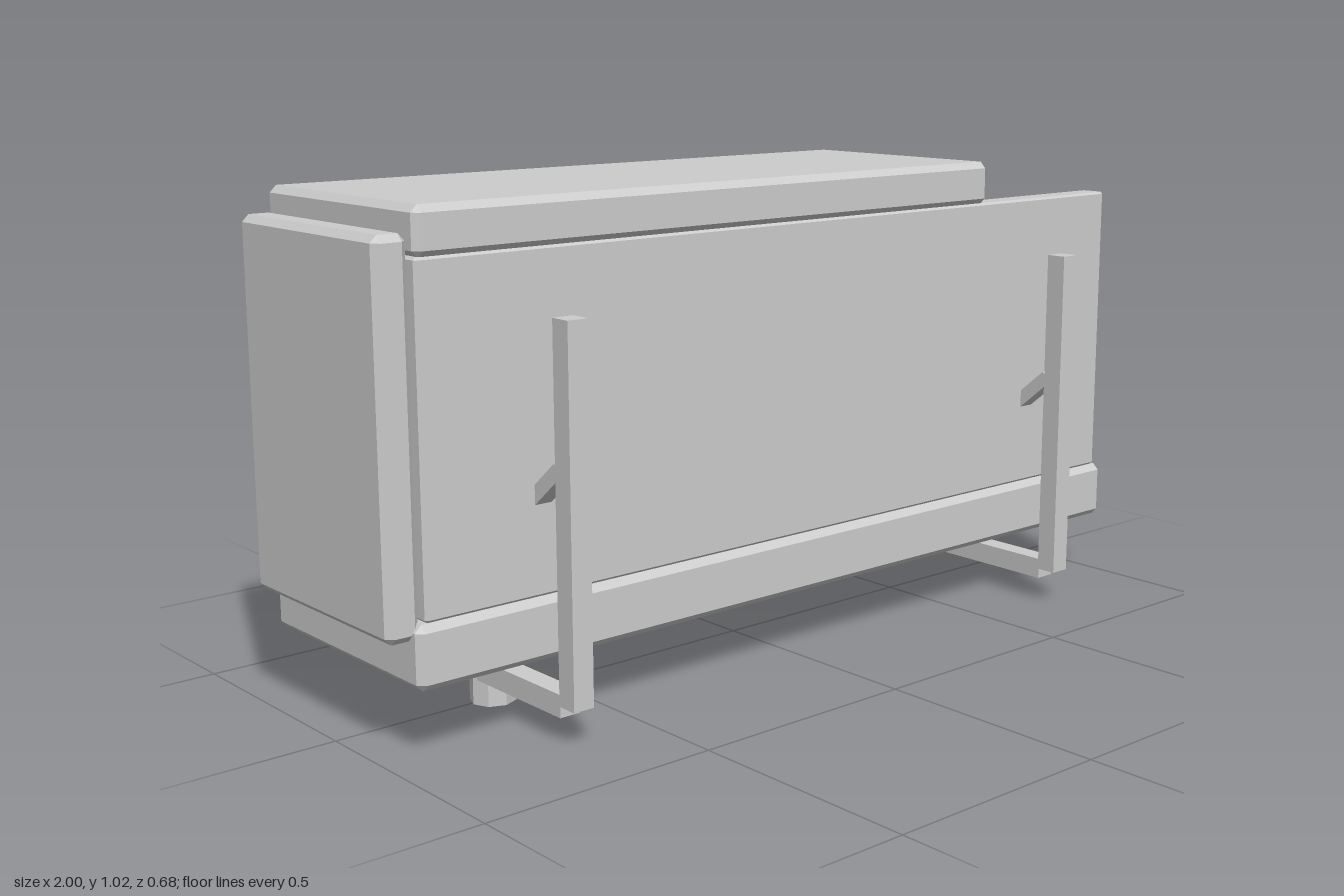
import * as THREE from 'three';
import { mergeGeometries } from 'three/addons/utils/BufferGeometryUtils.js';
import { ConvexGeometry } from 'three/addons/geometries/ConvexGeometry.js';

const V = (x, y, z) => new THREE.Vector3(x, y, z);

// Box with chamfered edges, given by its limits on each axis
function chamferBox([x0, x1], [y0, y1], [z0, z1], c) {
  const w = (x1 - x0) / 2, h = (y1 - y0) / 2, d = (z1 - z0) / 2;
  const pts = [];
  for (const i of [-1, 1]) for (const j of [-1, 1]) for (const k of [-1, 1]) {
    pts.push(V(i * w, j * (h - c), k * (d - c)));
    pts.push(V(i * (w - c), j * h, k * (d - c)));
    pts.push(V(i * (w - c), j * (h - c), k * d));
  }
  return new ConvexGeometry(pts).translate((x0 + x1) / 2, (y0 + y1) / 2, (z0 + z1) / 2);
}

function plainBox([x0, x1], [y0, y1], [z0, z1]) {
  return new THREE.BoxGeometry(x1 - x0, y1 - y0, z1 - z0)
    .translate((x0 + x1) / 2, (y0 + y1) / 2, (z0 + z1) / 2);
}

// Broken ten-sided shroud: flared prisms joined around the gap
function shroudGeometry() {
  const corner = (i) => {
    const t = (i * Math.PI) / 5;
    return [[0.315, 0.05], [0.268, 0.05], [0.33, -0.05], [0.28, -0.05]]
      .map(([r, z]) => V(r * Math.cos(t), r * Math.sin(t), z));
  };
  const parts = [];
  for (let i = 2; i < 10; i++) parts.push(new ConvexGeometry([...corner(i), ...corner(i + 1)]));
  // snapped stub of the next side
  const a = corner(10), b = corner(11);
  const cut = a.map((p, i) => p.clone().lerp(b[i], 0.28));
  parts.push(new ConvexGeometry([...a, ...cut]));
  return mergeGeometries(parts);
}

// Blade widening outward with a slight pitch
function bladeGeometry() {
  const pts = [];
  for (const [r, w, tilt] of [[0.04, 0.026, 0.01], [0.268, 0.045, 0.012]])
    for (const s of [-1, 1]) for (const t of [-0.007, 0.007]) pts.push(V(r, s * w, s * tilt + t));
  return new ConvexGeometry(pts);
}

export function createModel() {
  const model = new THREE.Group();
  model.name = 'airConditionerUnit';
  const grey = new THREE.MeshStandardMaterial({ color: 0xcccccc });
  grey.name = 'lightGrey';

  const add = (name, geometry, parent = model) => {
    const mesh = new THREE.Mesh(geometry, grey);
    mesh.name = name;
    parent.add(mesh);
    return mesh;
  };

  // Casing
  add('base', chamferBox([-0.95, 1.0], [0.142, 0.268], [-0.303, 0.228], 0.014));
  add('topPanel', chamferBox([-0.93, 0.558], [0.93, 1.025], [-0.303, 0.228], 0.014));
  add('endPanel', chamferBox([-1.0, -0.93], [0.235, 0.975], [-0.285, 0.207], 0.014));
  add('frontPanel', chamferBox([-0.93, 0.975], [0.27, 0.933], [0.163, 0.222], 0.005));
  add('divider', plainBox([0, 0.06], [0.262, 0.885], [-0.21, 0.166]));
  add('cornerPost', plainBox([-0.935, -0.835], [0.262, 0.935], [-0.283, -0.26]));

  // Fans with shroud, hub, three remaining blades and guard bars
  const shroud = shroudGeometry();
  const blade = bladeGeometry();
  const hub = new THREE.CylinderGeometry(0.06, 0.075, 0.075, 8).toNonIndexed().rotateX(-Math.PI / 2);
  hub.computeVertexNormals();
  const bar = new THREE.BoxGeometry(0.51, 0.017, 0.017);
  for (const x of [-0.478, 0.528]) {
    const fan = new THREE.Group();
    fan.name = 'fan';
    fan.position.set(x, 0.59, -0.266);
    model.add(fan);
    add('shroud', shroud, fan);
    add('hub', hub, fan);
    for (const degrees of [-12, 168, 258])
      add('blade', blade, fan).rotation.z = THREE.MathUtils.degToRad(degrees);
    for (const y of [0, 0.125]) add('guardBar', bar, fan).position.set(0, y, -0.064);
  }

  // Wall brackets with a diagonal brace
  const top = V(0, 0.53, 0.295), bottom = V(0, 0.09, -0.235);
  const run = top.clone().sub(bottom);
  for (const x of [-0.667, 0.715]) {
    const bracket = new THREE.Group();
    bracket.name = 'bracket';
    bracket.position.x = x;
    model.add(bracket);
    add('upright', plainBox([-0.023, 0.023], [0.074, 0.812], [0.293, 0.339]), bracket);
    add('arm', plainBox([-0.023, 0.023], [0.052, 0.098], [-0.265, 0.295]), bracket);
    const brace = add('brace', new THREE.BoxGeometry(0.038, 0.03, run.length()), bracket);
    brace.position.copy(top).add(bottom).multiplyScalar(0.5);
    brace.rotation.x = -Math.atan2(run.y, run.z);
  }

  // Hollow drain pipe
  const profile = [[0.036, 0], [0.047, 0], [0.047, 0.15], [0.036, 0.15], [0.036, 0]]
    .map(([r, y]) => new THREE.Vector2(r, y));
  const pipe = new THREE.LatheGeometry(profile, 8).toNonIndexed();
  pipe.computeVertexNormals();
  add('drainPipe', pipe).position.set(-0.647, 0, 0.007);

  return model;
}
